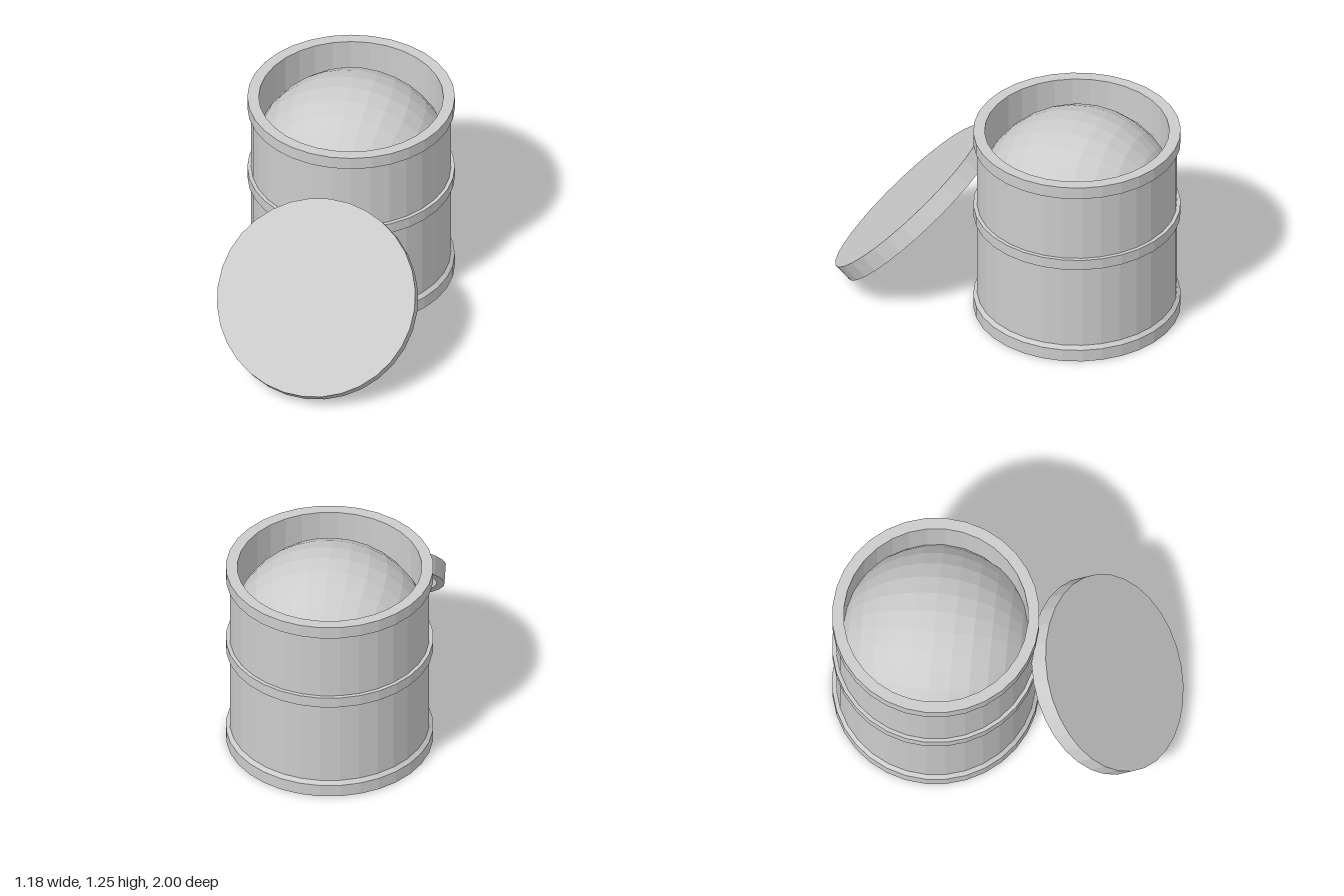
import * as THREE from 'three';

const SIDES = 32;
const material = new THREE.MeshStandardMaterial({ color: 0xcccccc, flatShading: true });

function addMesh(parent, name, geometry) {
  const mesh = new THREE.Mesh(geometry, material);
  mesh.name = name;
  parent.add(mesh);
  return mesh;
}

// Turned part: profile of [radius, y], listed up the outside and down the inside
function turned(profile) {
  return new THREE.LatheGeometry(profile.map(([r, y]) => new THREE.Vector2(r, y)), SIDES);
}

// Ball of contents lying on its side; its lower edge is tucked into the barrel wall
function domeGeometry(radius, limit) {
  const geometry = new THREE.SphereGeometry(radius, SIDES / 2, 16, 0, Math.PI);
  geometry.rotateX(-Math.PI / 2);
  const p = geometry.attributes.position;
  for (let i = 0; i < p.count; i++) {
    const r = Math.hypot(p.getX(i), p.getZ(i));
    if (r > limit) {
      p.setX(i, p.getX(i) * limit / r);
      p.setZ(i, p.getZ(i) * limit / r);
    }
  }
  geometry.computeVertexNormals();
  return geometry;
}

export function createModel() {
  const model = new THREE.Group();
  model.name = 'openBarrel';

  // Barrel with base, middle and rim bands, hollow inside
  const barrel = new THREE.Group();
  barrel.name = 'barrel';
  barrel.position.z = -0.41;
  model.add(barrel);
  addMesh(barrel, 'barrelBody', turned([
    [0, 0], [0.59, 0], [0.59, 0.075], [0.568, 0.095],
    [0.568, 0.625], [0.59, 0.625], [0.59, 0.69], [0.568, 0.69],
    [0.568, 1.11], [0.59, 1.11], [0.59, 1.185],
    [0.525, 1.185], [0.525, 0.08], [0, 0.08],
  ]));
  addMesh(barrel, 'domedContents', domeGeometry(0.59, 0.545)).position.y = 0.66;

  // Shallow lid, hollow underneath, leaning against the barrel
  const lid = addMesh(model, 'lid', turned([
    [0, -0.02], [0.525, -0.02], [0.525, -0.11], [0.57, -0.11], [0.57, 0], [0, 0],
  ]));
  lid.position.set(0, 0.505, 0.61);
  lid.rotation.x = 0.817;

  return model;
}
